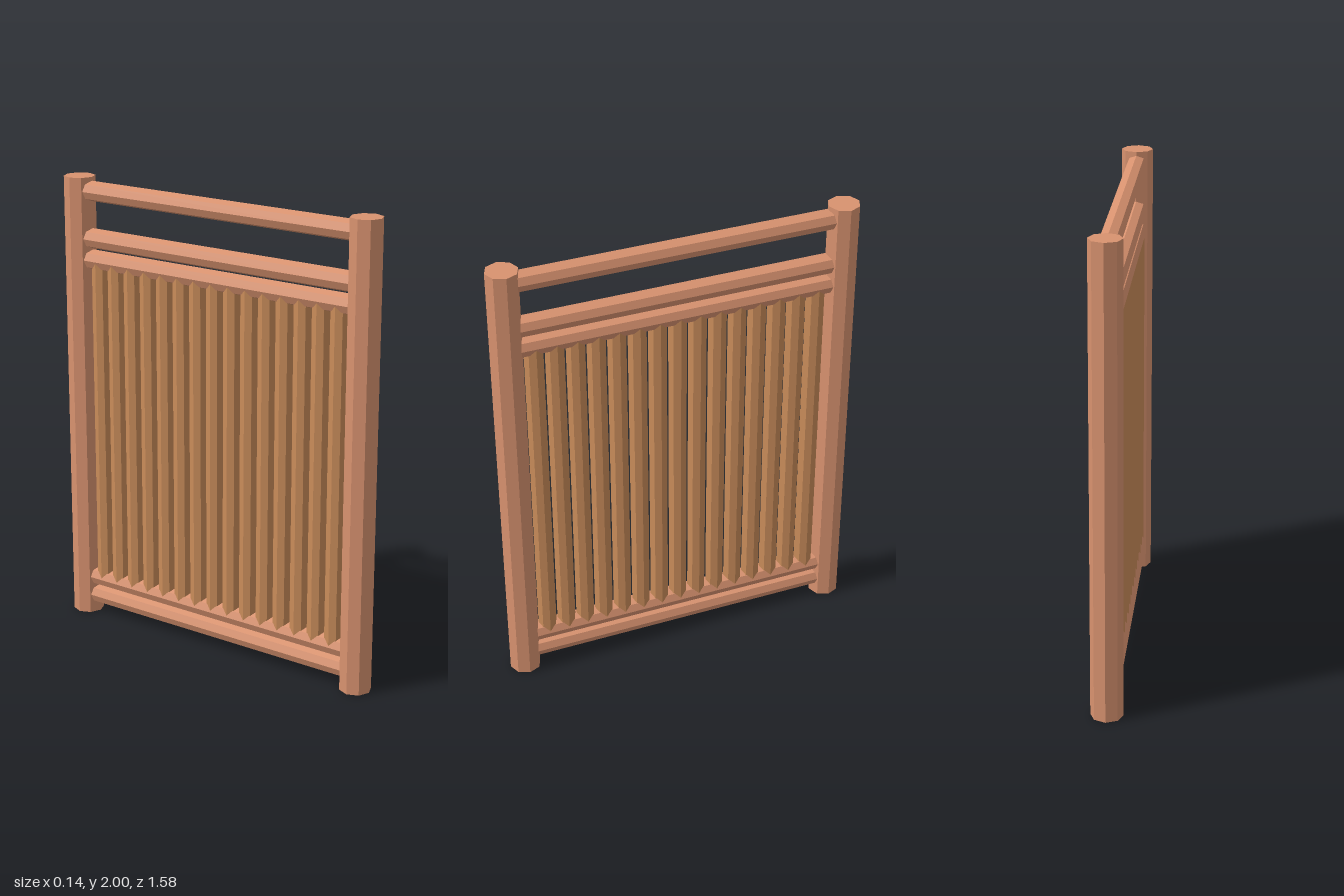
import * as THREE from 'three';

export function createModel() {
  const model = new THREE.Group();
  model.name = 'fencePanel';

  const frameWood = new THREE.MeshStandardMaterial({ color: 0xd8926f, flatShading: true });
  const slatWood = new THREE.MeshStandardMaterial({ color: 0xc98c5a, flatShading: true });

  // Eight-sided pole with a corner facing each axis
  const addPole = (name, radius, length, material, y, z) => {
    const pole = new THREE.Mesh(new THREE.CylinderGeometry(radius, radius, length, 8), material);
    pole.name = name;
    pole.position.set(0, y, z);
    model.add(pole);
    return pole;
  };

  // End posts
  addPole('frontPost', 0.068, 2, frameWood, 1, 0.722);
  addPole('backPost', 0.068, 2, frameWood, 1, -0.722);

  // Horizontal rails between the posts
  const rails = { bottomRail: 0.085, lowerRail: 0.172, upperRail: 1.642, middleRail: 1.735, topRail: 1.94 };
  for (const [name, y] of Object.entries(rails)) {
    addPole(name, 0.044, 1.35, frameWood, y, 0).rotation.x = Math.PI / 2;
  }

  // Row of upright slats, ending inside the lower and upper rails
  const slatCount = 15;
  const pitch = 0.0873;
  for (let i = 0; i < slatCount; i++) {
    const z = (i - (slatCount - 1) / 2) * pitch;
    addPole(`slat${i + 1}`, 0.041, 1.47, slatWood, 0.907, z);
  }

  return model;
}
